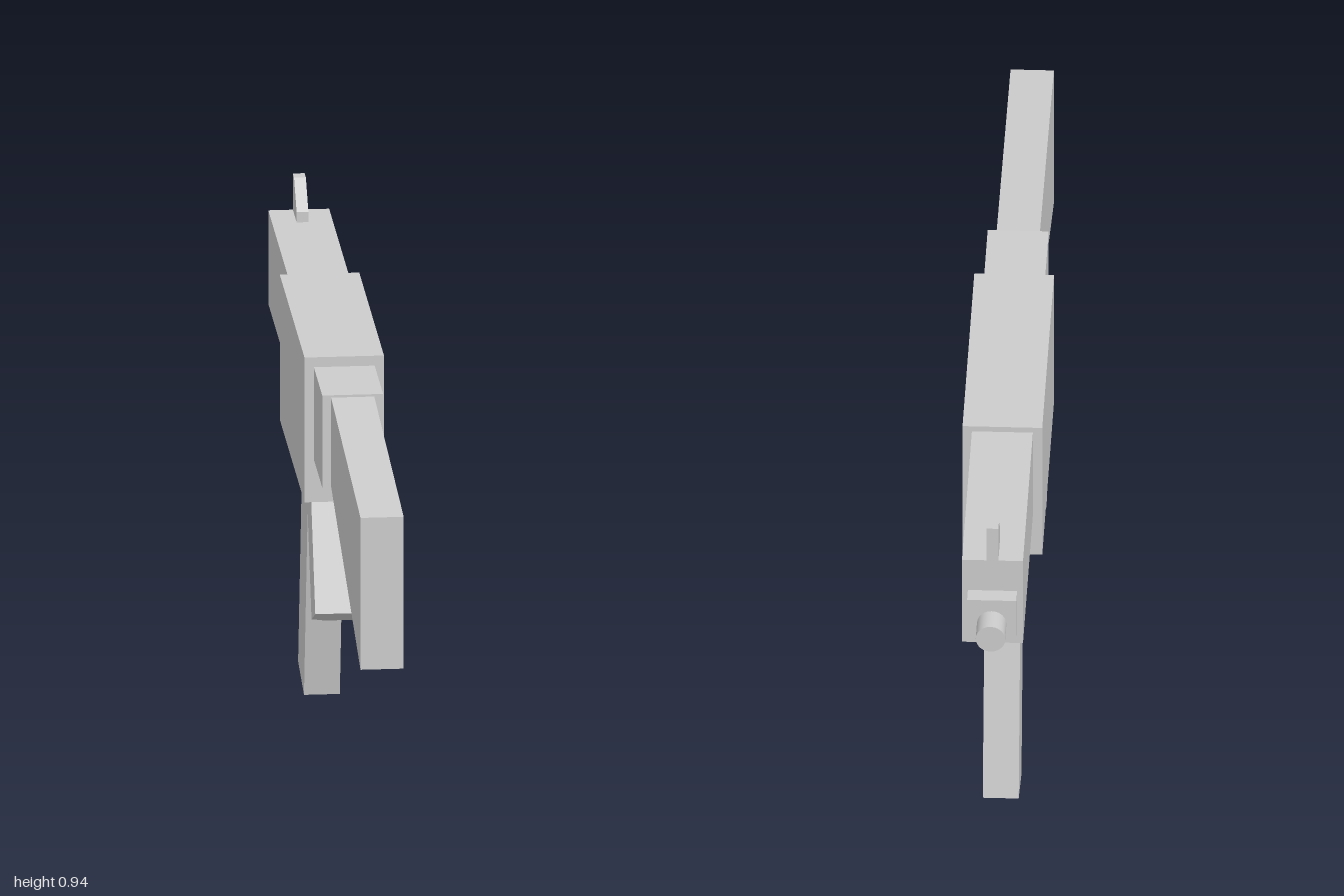
import * as THREE from 'three';

const material = new THREE.MeshStandardMaterial({ color: 0xcccccc, flatShading: true });
const smooth = new THREE.MeshStandardMaterial({ color: 0xcccccc });

const extrude = (points, depth) => new THREE.ExtrudeGeometry(
  new THREE.Shape(points.map(([a, b]) => new THREE.Vector2(a, b))),
  { depth, bevelEnabled: false }
);

export function createModel() {
  const model = new THREE.Group();
  model.name = 'rifle';

  const add = (name, geometry, mat = material) => {
    const mesh = new THREE.Mesh(geometry, mat);
    mesh.name = name;
    model.add(mesh);
    return mesh;
  };

  // Side profile of [z, y] points, given a width across x
  const slab = (name, width, points) =>
    add(name, extrude(points, width).rotateY(-Math.PI / 2).translate(width / 2, 0, 0));

  // Box from z and y ranges
  const block = (name, width, z0, z1, y0, y1) =>
    add(name, new THREE.BoxGeometry(width, y1 - y0, z1 - z0)
      .translate(0, (y0 + y1) / 2, (z0 + z1) / 2));

  // Body
  block('receiver', 0.162, -0.43, 0.135, 0.57, 0.878);
  block('rearReceiver', 0.124, 0.135, 0.328, 0.661, 0.857);
  block('handguard', 0.124, -0.905, -0.43, 0.667, 0.866);

  // Tapered shoulder stock
  slab('stock', 0.088, [[0.328, 0.663], [1, 0.483], [1, 0.806], [0.328, 0.852]]);

  // Slanted magazine, its top sunk into the receiver
  slab('magazine', 0.073, [[-0.26, 0.575], [-0.375, 0], [-0.51, 0.029], [-0.4, 0.575]]);

  // Pistol grip: section with chamfered front corners, swept up its tilted axis
  const grip = add('grip', extrude([
    [-0.066, 0], [0.066, 0], [0.066, 0.094], [0.035, 0.126], [-0.035, 0.126], [-0.066, 0.094],
  ], 0.3));
  grip.rotation.x = Math.atan2(-0.917, -0.4);
  grip.position.set(0, 0.356, 0.213);

  // Muzzle
  block('muzzleBlock', 0.1, -0.942, -0.905, 0.696, 0.793);
  add('barrel', new THREE.CylinderGeometry(0.03, 0.03, 0.06, 24)
    .rotateX(Math.PI / 2).translate(0, 0.737, -0.97), smooth);

  // Front sight
  slab('frontSight', 0.024, [
    [-0.818, 0.866], [-0.818, 0.888], [-0.877, 0.943], [-0.905, 0.943], [-0.905, 0.866],
  ].reverse());

  return model;
}
